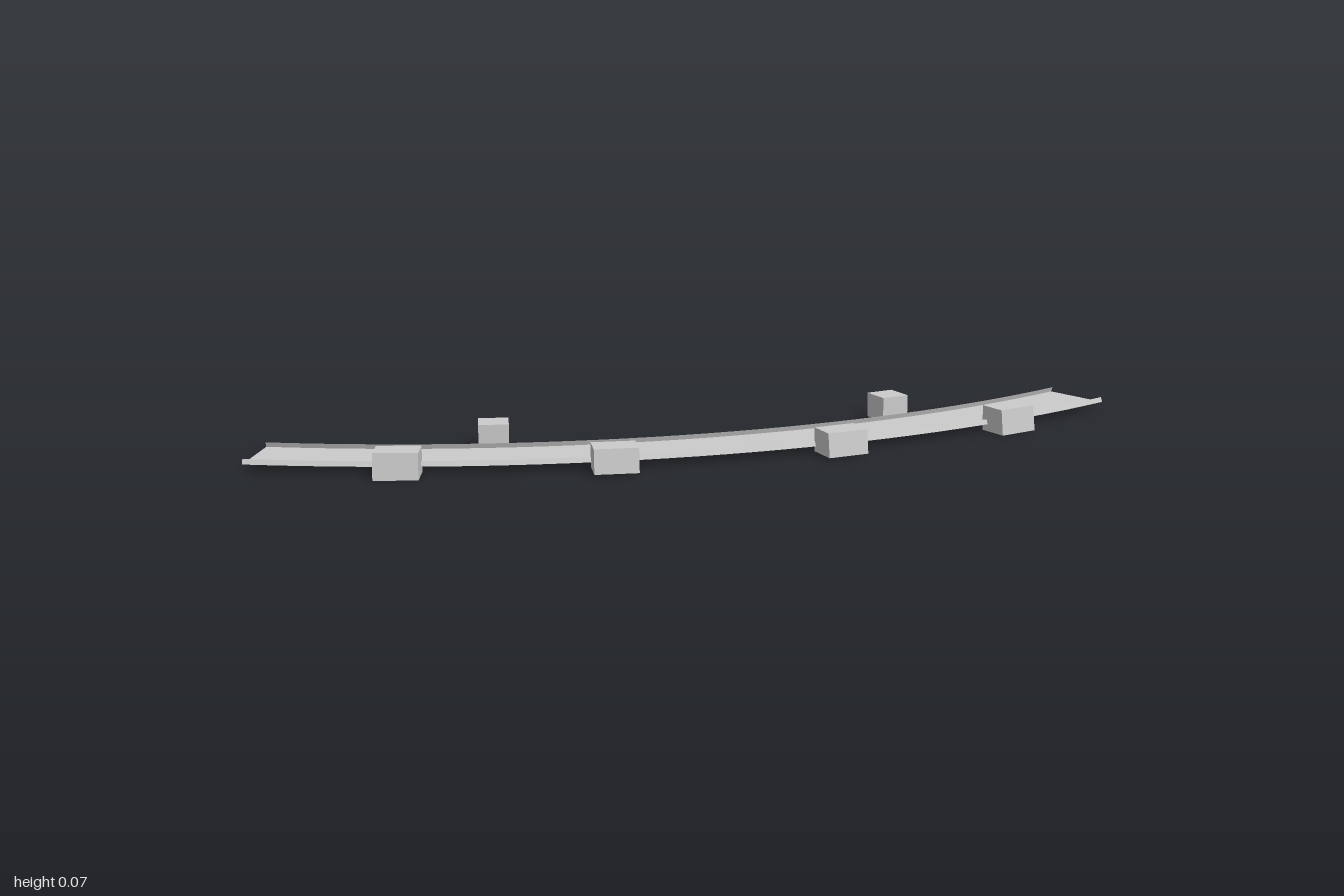
import * as THREE from 'three';

const material = new THREE.MeshStandardMaterial({ color: 0xcccccc, flatShading: true, side: THREE.DoubleSide });

// Block hollow from below; lean tips the top of its front face backwards
function block(name, w, h, d, lean) {
  const geometry = new THREE.BoxGeometry(w, h, d);
  const p = geometry.attributes.position;
  for (let i = 0; i < p.count; i++) {
    if (p.getY(i) > 0 && p.getZ(i) > 0) p.setZ(i, p.getZ(i) - lean);
  }
  const index = Array.from(geometry.index.array);
  index.splice(18, 6); // leave the underside open
  geometry.setIndex(index);
  geometry.clearGroups();
  geometry.translate(0, h / 2, 0);
  const mesh = new THREE.Mesh(geometry, material);
  mesh.name = name;
  return mesh;
}

export function createModel() {
  const group = new THREE.Group();
  group.name = 'curvedTrack';

  // Shallow channel with low inward-leaning lips, swept along an arc
  const outer = 2.407, inner = 2.253, halfAngle = Math.asin(1 / outer);
  const profile = [
    [outer - 0.004, 0.027], [outer, 0.016], [inner, 0.016], [inner + 0.004, 0.027],
  ].map(([r, y]) => new THREE.Vector2(r, y));
  const track = new THREE.Mesh(
    new THREE.LatheGeometry(profile, 32, -halfAngle, halfAngle * 2), material);
  track.name = 'track';
  track.position.z = 0.15 - outer;
  group.add(track);

  // Blocks along both edges, mirrored left and right
  const blocks = [
    { name: 'frontInnerBlock', size: [0.095, 0.053, 0.07], lean: 0.007, at: [0.253, 0.004, 0.1625], turn: 0.14 },
    { name: 'frontOuterBlock', size: [0.095, 0.057, 0.07], lean: 0.007, at: [0.695, 0, 0.0655], turn: 0.285 },
    { name: 'rearBlock', size: [0.066, 0.055, 0.066], lean: 0, at: [0.46, 0.012, -0.086], turn: 0.2 },
  ];
  for (const side of [1, -1]) {
    for (const b of blocks) {
      const mesh = block((side > 0 ? 'left ' : 'right ') + b.name, ...b.size, b.lean);
      mesh.position.set(side * b.at[0], b.at[1], b.at[2]);
      mesh.rotation.y = side * b.turn;
      group.add(mesh);
    }
  }
  return group;
}
